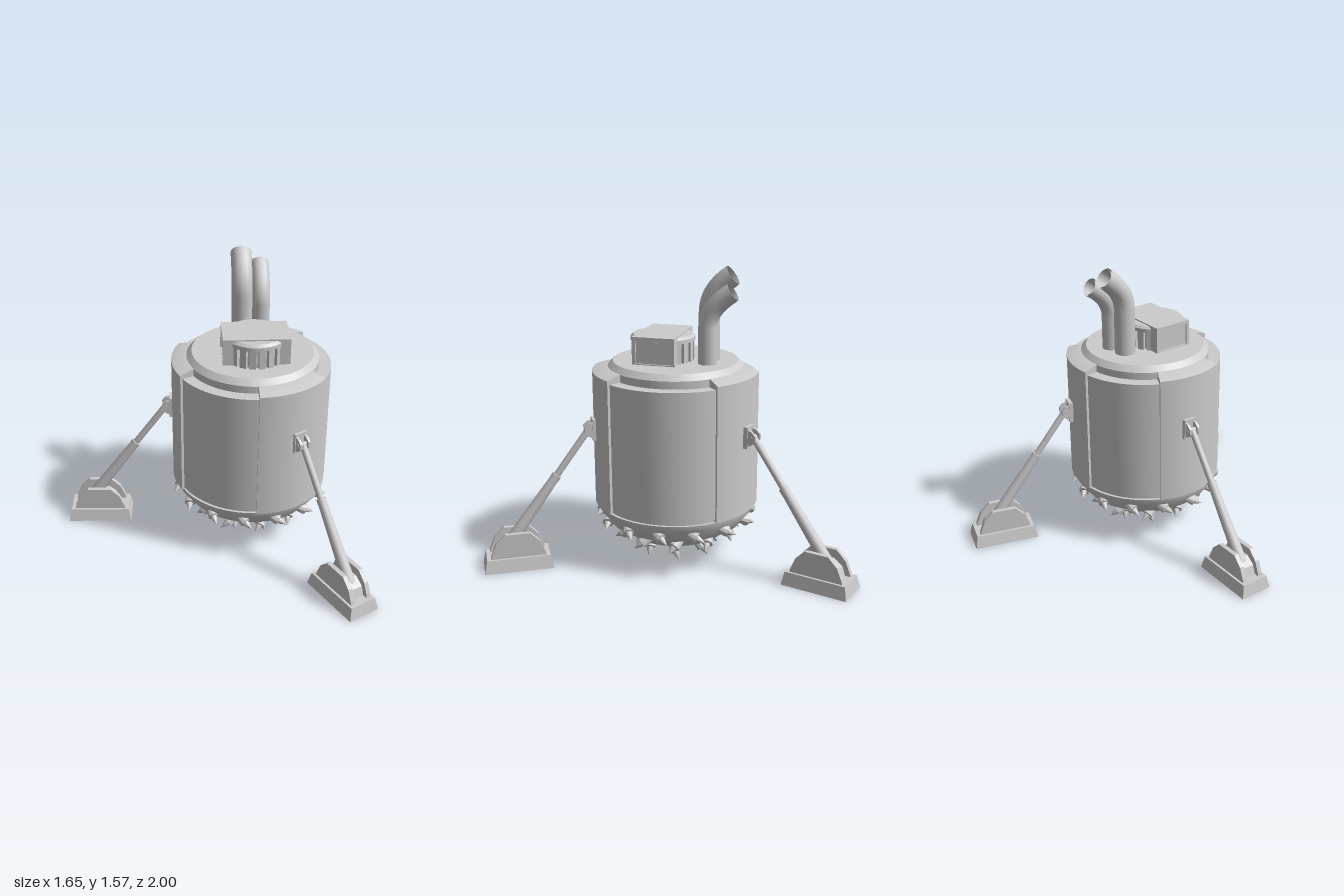
import * as THREE from 'three';
import { toCreasedNormals } from 'three/addons/utils/BufferGeometryUtils.js';

const CX = 0.22, CZ = 0.033; // axis of the drum body
const RAD = Math.PI / 180;
const grey = new THREE.MeshStandardMaterial({ color: 0xcccccc });
const greyBoth = new THREE.MeshStandardMaterial({ color: 0xcccccc, side: THREE.DoubleSide });
const v2 = (pts) => pts.map(([x, y]) => new THREE.Vector2(x, y));

function add(parent, name, geometry, x = 0, y = 0, z = 0, material = grey) {
  const mesh = new THREE.Mesh(geometry, material);
  mesh.name = name;
  mesh.position.set(x, y, z);
  parent.add(mesh);
  return mesh;
}

function lathe(pts, segments, start = 0, length = Math.PI * 2) {
  return toCreasedNormals(new THREE.LatheGeometry(v2(pts), segments, start, length), 0.6);
}

// Curved wall panel between two angles (degrees from +x towards +z), with end caps
function wallPanel(parent, name, pts, a0, a1) {
  const closed = [...pts, pts[0]];
  add(parent, name, lathe(closed, 20, (90 - a1) * RAD, (a1 - a0) * RAD));
  for (const a of [a0, a1]) {
    const cap = add(parent, name + 'End', new THREE.ShapeGeometry(new THREE.Shape(v2(pts))), 0, 0, 0, greyBoth);
    cap.rotation.y = -a * RAD;
  }
}

// Cylinder between two points
function rod(parent, name, a, b, rA, rB, sides = 14) {
  const dir = b.clone().sub(a);
  const mesh = add(parent, name, new THREE.CylinderGeometry(rB, rA, dir.length(), sides));
  mesh.position.copy(a).add(b).multiplyScalar(0.5);
  mesh.quaternion.setFromUnitVectors(new THREE.Vector3(0, 1, 0), dir.normalize());
  return mesh;
}

// Flat plate in the local xy plane, centred on z
function plate(pts, depth) {
  const g = new THREE.ExtrudeGeometry(new THREE.Shape(v2(pts)), { depth, bevelEnabled: false });
  return g.translate(0, 0, -depth / 2);
}

function buildBody() {
  const body = new THREE.Group();
  body.name = 'body';
  add(body, 'core', lathe([[0, 0.3], [0.41, 0.3], [0.41, 0.99], [0.36, 0.99], [0.36, 1.05], [0.33, 1.08], [0, 1.08]], 64));
  const raised = [[0.38, 0.31], [0.44, 0.31], [0.44, 1.03], [0.37, 1.052], [0.34, 1.052]];
  const recessed = [[0.38, 0.32], [0.425, 0.32], [0.425, 1.01], [0.34, 1.01]];
  for (const [a0, a1] of [[35, 90], [154, 206], [263, 316]]) wallPanel(body, 'raisedPanel', raised, a0, a1);
  for (const [a0, a1] of [[90, 154], [206, 263], [316, 395]]) wallPanel(body, 'recessedPanel', recessed, a0, a1);
  return body;
}

function buildCutter() {
  const cutter = new THREE.Group();
  cutter.name = 'cutterHead';
  add(cutter, 'cutterCone', lathe([
    [0, 0.13], [0.055, 0.13], [0.055, 0.075], [0.15, 0.08], [0.2, 0.115], [0.26, 0.125],
    [0.31, 0.18], [0.36, 0.195], [0.42, 0.275], [0.425, 0.305], [0, 0.305]], 48));

  // Rows of picks: count, radius, height, sideways lean, outward, down
  const pick = lathe([[0.018, -0.02], [0.029, 0.035], [0.03, 0.047], [0.018, 0.05], [0.014, 0.068], [0, 0.1]], 10);
  const rows = [[14, 0.385, 0.25, -0.75, 0.5, -0.4], [11, 0.29, 0.17, 0.65, 0.5, -0.55], [8, 0.175, 0.105, -0.4, 0.45, -0.75]];
  rows.forEach(([count, r, y, lean, out, down], row) => {
    for (let i = 0; i < count; i++) {
      const a = ((i + row * 0.4) / count) * Math.PI * 2;
      const c = Math.cos(a), s = Math.sin(a);
      const p = add(cutter, 'pick', pick, r * c, y, r * s);
      const dir = new THREE.Vector3(out * c - lean * s, down, out * s + lean * c).normalize();
      p.quaternion.setFromUnitVectors(new THREE.Vector3(0, 1, 0), dir);
    }
  });
  return cutter;
}

function buildVent() {
  const vent = new THREE.Group();
  vent.name = 'vent';
  vent.position.set(0.225, 0, 0.1);
  add(vent, 'ventCore', new THREE.CylinderGeometry(0.145, 0.145, 0.14, 32), 0, 1.14, 0);
  add(vent, 'ventCap', lathe([[0, 1.185], [0.17, 1.185], [0.17, 1.205], [0.155, 1.218], [0, 1.218]], 32));
  for (let i = 0; i < 20; i++) {
    const a = ((i + 0.5) / 20) * Math.PI * 2;
    const slat = add(vent, 'ventSlat', new THREE.BoxGeometry(0.03, 0.12, 0.035), 0.15 * Math.cos(a), 1.13, 0.15 * Math.sin(a));
    slat.rotation.y = -a;
  }
  // Square hood across the drum, with recessed ends
  const outline = new THREE.Shape(v2([[-0.1125, 1.075], [0.1125, 1.075], [0.1125, 1.225], [-0.1125, 1.225]]));
  outline.holes.push(new THREE.Path(v2([[-0.095, 1.085], [-0.095, 1.205], [0.095, 1.205], [0.095, 1.085]])));
  const frame = new THREE.ExtrudeGeometry(outline, { depth: 0.355, bevelEnabled: false });
  frame.translate(0, 0, -0.1775).rotateY(Math.PI / 2);
  add(vent, 'hood', frame);
  add(vent, 'hoodFill', new THREE.BoxGeometry(0.335, 0.13, 0.2), 0, 1.145, 0);
  return vent;
}

// Exhaust pipe rising from the roof and bending backwards
function buildPipe(parent, x, z, r, bendY, endY, endZ) {
  const path = new THREE.CurvePath();
  const start = new THREE.Vector3(x, 1.07, z), bend = new THREE.Vector3(x, bendY, z);
  path.add(new THREE.LineCurve3(start, bend));
  path.add(new THREE.QuadraticBezierCurve3(bend, new THREE.Vector3(x, endY - 0.085, z), new THREE.Vector3(x, endY, endZ)));
  add(parent, 'exhaustPipe', new THREE.TubeGeometry(path, 24, r, 14, false), 0, 0, 0, greyBoth);
  add(parent, 'exhaustLining', new THREE.TubeGeometry(path, 24, r * 0.85, 14, false), 0, 0, 0, greyBoth);
}

// Leg with its foot at the origin; local +x points away from the body
function buildLeg() {
  const leg = new THREE.Group();
  leg.name = 'leg';
  // Foot pad: tapered block
  const pad = new THREE.BoxGeometry(0.36, 0.07, 0.185);
  const p = pad.attributes.position;
  for (let i = 0; i < p.count; i++) {
    if (p.getY(i) > 0) p.setXYZ(i, p.getX(i) * 0.92, p.getY(i), p.getZ(i) * 0.84);
  }
  pad.computeVertexNormals();
  add(leg, 'footPad', pad, 0, 0.035, 0);
  // Cheek plates and the knuckle between them
  const cheek = plate([[-0.145, 0.07], [0.145, 0.07], [0.14, 0.09], [0.115, 0.15], [0.065, 0.2], [-0.065, 0.2], [-0.115, 0.15], [-0.14, 0.09]], 0.025);
  for (const side of [-1, 1]) add(leg, 'footCheek', cheek, 0, 0, side * 0.052);
  const knuckle = plate([[-0.11, 0.06], [0.12, 0.06], [0.1, 0.12], [0.05, 0.155], [-0.05, 0.155], [-0.09, 0.12]], 0.09);
  add(leg, 'footKnuckle', knuckle);
  // Telescopic strut
  const top = new THREE.Vector3(-0.4, 0.73, 0), foot = new THREE.Vector3(0.06, 0.1, 0);
  foot.set(0.055, 0.11, 0);
  const mid = top.clone().lerp(foot, 0.4);
  rod(leg, 'strutRod', top, mid, 0.018, 0.018);
  rod(leg, 'strutSleeve', mid, foot, 0.024, 0.034);
  rod(leg, 'strutCollar', mid.clone().lerp(top, 0.03), mid.clone().lerp(foot, 0.04), 0.026, 0.026);
  // Clevis bracket on the wall
  add(leg, 'bracketPlate', new THREE.BoxGeometry(0.045, 0.115, 0.075), -0.438, 0.73, 0);
  const ear = plate([[-0.425, 0.68], [-0.395, 0.695], [-0.375, 0.715], [-0.375, 0.745], [-0.395, 0.765], [-0.425, 0.775]], 0.014);
  for (const side of [-1, 1]) add(leg, 'bracketEar', ear, 0, 0, side * 0.026);
  rod(leg, 'bracketPin', new THREE.Vector3(-0.4, 0.73, -0.035), new THREE.Vector3(-0.4, 0.73, 0.035), 0.012, 0.012);
  return leg;
}

export function createModel() {
  const model = new THREE.Group();
  model.name = 'drillingLander';
  for (const part of [buildBody(), buildCutter()]) {
    part.position.set(CX, 0, CZ);
    model.add(part);
  }
  model.add(buildVent());
  buildPipe(model, 0.172, -0.137, 0.057, 1.33, 1.525, -0.26);
  buildPipe(model, 0.277, -0.155, 0.05, 1.27, 1.455, -0.285);
  // Three legs: foot position and outward angle
  for (const [x, z, angle] of [[-0.65, -0.015, 182], [0.478, -0.805, 286.4], [0.65, 0.79, 60.5]]) {
    const leg = buildLeg();
    leg.position.set(x, 0, z);
    leg.rotation.y = -angle * RAD;
    model.add(leg);
  }
  return model;
}
